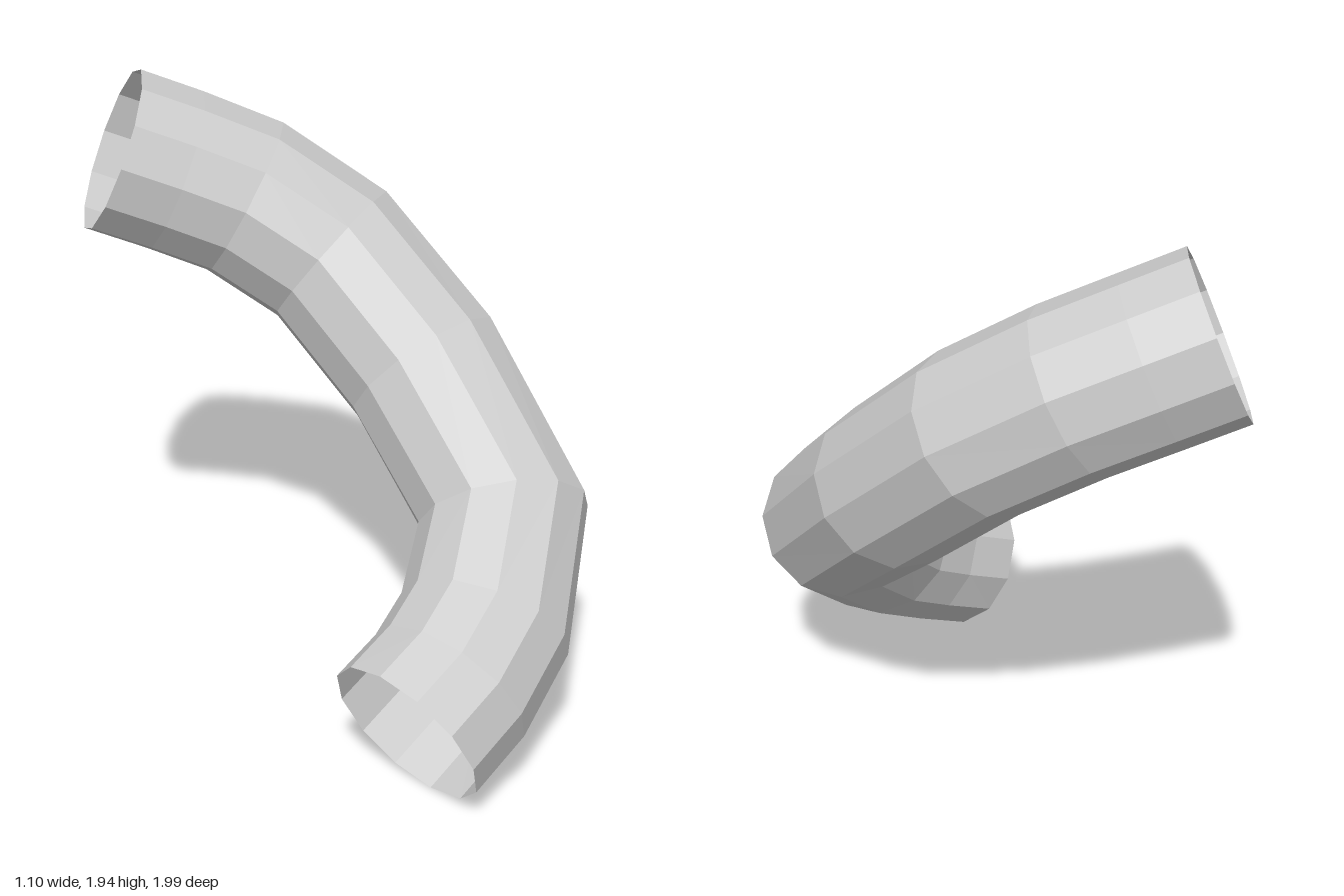
import * as THREE from 'three';

export function createModel() {
  const group = new THREE.Group();

  // Centre line, one point per ring of the pipe, from the lower to the upper mouth
  const path = new THREE.CatmullRomCurve3([
    [-0.44, 0.25, 0.73],
    [-0.25, 0.335, 0.725],
    [-0.05, 0.45, 0.68],
    [0.2, 0.68, 0.52],
    [0.28, 1.02, 0.08],
    [0.21, 1.33, -0.28],
    [0.04, 1.51, -0.51],
    [-0.14, 1.61, -0.65],
    [-0.3, 1.69, -0.76],
  ].map((p) => new THREE.Vector3(...p)));

  // Place the rings exactly on the points rather than at equal distances
  path.getPointAt = path.getPoint;
  path.getTangentAt = path.getTangent;

  // Open, thin-walled, faceted pipe
  const geometry = new THREE.TubeGeometry(path, path.points.length - 1, 0.273, 12, false);
  const material = new THREE.MeshStandardMaterial({
    color: 0xcccccc,
    flatShading: true,
    side: THREE.DoubleSide,
  });
  const pipe = new THREE.Mesh(geometry, material);
  pipe.name = 'bentPipe';
  group.add(pipe);

  return group;
}
